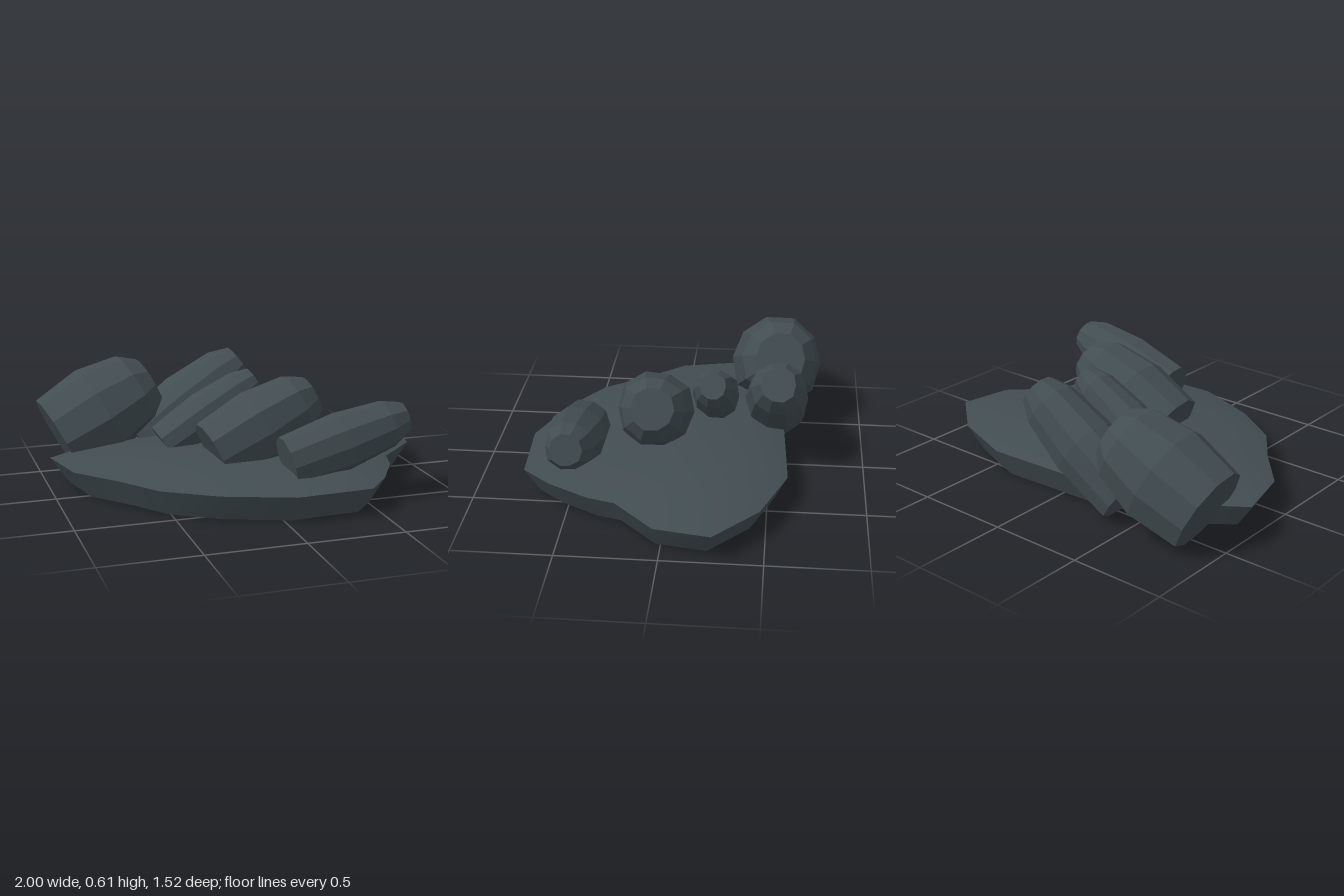
import * as THREE from 'three';
import { toCreasedNormals } from 'three/addons/utils/BufferGeometryUtils.js';

const slate = new THREE.MeshStandardMaterial({ color: 0x424d52 });
slate.name = 'dark slate';

// Slab outline (x, z), running from +x towards +z
const OUTLINE = [
  [1, -0.25], [0.95, 0.03], [0.73, 0.24], [0.69, 0.38], [0.57, 0.59], [0.44, 0.74],
  [0.04, 0.76], [-0.31, 0.63], [-0.57, 0.46], [-0.72, 0.25], [-0.91, 0.03],
  [-0.98, -0.27], [-0.74, -0.44], [-0.2, -0.57], [0.4, -0.6], [0.75, -0.47],
];

// Slab as stacked scaled outlines: [scale, y]
const SLAB_RINGS = [[0, 0.02], [0.9, 0.02], [1, 0.16], [0.7, 0.21], [0, 0.212]];

function makeSlab() {
  const n = OUTLINE.length;
  const positions = [];
  const index = [];
  for (const [s, y] of SLAB_RINGS) {
    for (const [x, z] of OUTLINE) positions.push(x * s, y, z * s);
  }
  for (let r = 0; r < SLAB_RINGS.length - 1; r++) {
    for (let i = 0; i < n; i++) {
      const j = (i + 1) % n;
      const a = r * n + i, b = r * n + j, c = a + n, d = b + n;
      if (SLAB_RINGS[r][0] > 0) index.push(a, c, b);
      if (SLAB_RINGS[r + 1][0] > 0) index.push(b, c, d);
    }
  }
  const geometry = new THREE.BufferGeometry();
  geometry.setAttribute('position', new THREE.Float32BufferAttribute(positions, 3));
  geometry.setIndex(index);
  const mesh = new THREE.Mesh(toCreasedNormals(geometry, 0.6), slate);
  mesh.name = 'slab';
  return mesh;
}

// Barrel profile: [relative radius, fraction of length]
const PROFILE = [[0, 0], [0.88, 0], [1, 0.46], [0.82, 0.85], [0.54, 1], [0, 1]];

// Faceted, slightly uneven barrel-shaped boulder from its base centre to its tip centre
function makeBoulder({ name, base, tip, radius, seed }) {
  const from = new THREE.Vector3(...base);
  const axis = new THREE.Vector3(...tip).sub(from);
  const length = axis.length();
  const points = PROFILE.map(([r, t]) => new THREE.Vector2(r * radius, t * length));
  const lathe = new THREE.LatheGeometry(points, 10);
  const p = lathe.attributes.position;
  for (let i = 0; i < p.count; i++) {
    const a = Math.atan2(p.getX(i), p.getZ(i));
    const k = 1 + 0.03 * Math.sin(3 * a + seed) - 0.02 * Math.cos(4 * a);
    p.setX(i, p.getX(i) * k);
    p.setZ(i, p.getZ(i) * k);
  }
  const geometry = lathe.toNonIndexed();
  geometry.computeVertexNormals();
  const mesh = new THREE.Mesh(geometry, slate);
  mesh.name = name;
  mesh.position.copy(from);
  mesh.quaternion.setFromUnitVectors(new THREE.Vector3(0, 1, 0), axis.normalize());
  return mesh;
}

const BOULDERS = [
  { name: 'largeBackBoulder', base: [-0.895, 0.21, -0.5], tip: [-0.37, 0.475, -0.54], radius: 0.255, seed: 0.4 },
  { name: 'longBackBoulder', base: [-0.43, 0.14, -0.53], tip: [0.15, 0.555, -0.535], radius: 0.172, seed: 1.7 },
  { name: 'slimMiddleBoulder', base: [-0.375, 0.2, -0.205], tip: [0.135, 0.525, -0.2], radius: 0.128, seed: 2.6 },
  { name: 'wideMiddleBoulder', base: [-0.193, 0.222, 0.115], tip: [0.355, 0.49, 0.09], radius: 0.205, seed: 3.9 },
  { name: 'frontBoulder', base: [0.085, 0.255, 0.475], tip: [0.72, 0.435, 0.47], radius: 0.15, seed: 5.1 },
];

export function createModel() {
  const model = new THREE.Group();
  model.name = 'rockFormation';
  model.add(makeSlab(), ...BOULDERS.map(makeBoulder));
  return model;
}
